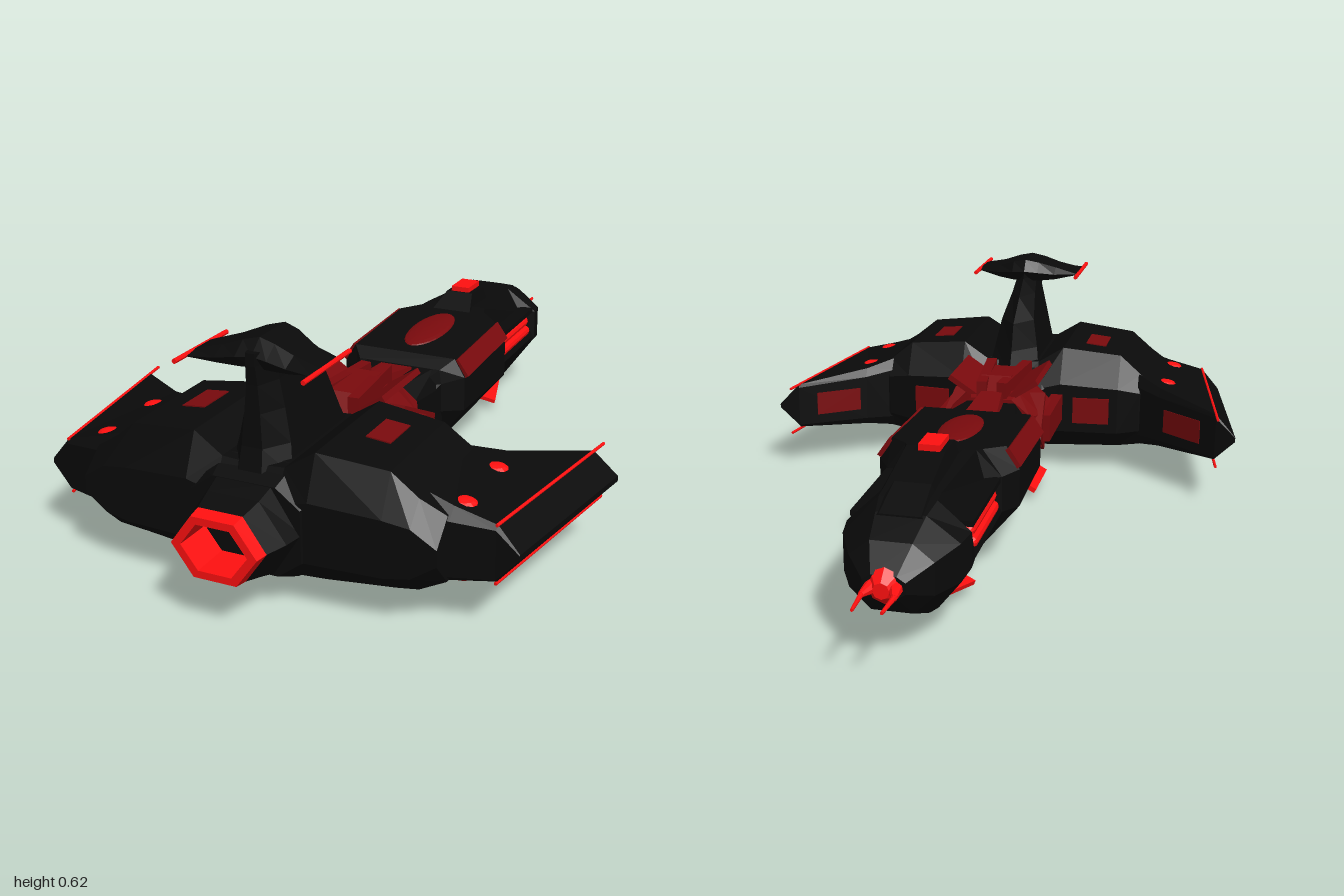
import * as THREE from 'three';

const mat = (color) => new THREE.MeshStandardMaterial({ color, flatShading: true, roughness: 0.8 });
const black = mat(0x0a0a0a), red = mat(0xff1010), maroon = mat(0x7a0a0d);

// Closed faceted skin through rings of [x, y, z] points, capped at both ends unless told otherwise.
function loft(rings, capped = true) {
  const pos = [];
  const n = rings[0].length;
  const tri = (a, b, c) => pos.push(...a, ...b, ...c);
  for (let i = 0; i < rings.length - 1; i++) {
    for (let j = 0; j < n; j++) {
      const k = (j + 1) % n, A = rings[i], B = rings[i + 1];
      tri(A[j], A[k], B[k]);
      tri(A[j], B[k], B[j]);
    }
  }
  const last = rings[rings.length - 1];
  for (let j = 1; capped && j < n - 1; j++) {
    tri(rings[0][0], rings[0][j + 1], rings[0][j]);
    tri(last[0], last[j], last[j + 1]);
  }
  // turn the faces outward if the enclosed volume is negative
  let volume = 0;
  const a = new THREE.Vector3(), b = new THREE.Vector3(), c = new THREE.Vector3();
  for (let i = 0; i < pos.length; i += 9) {
    a.fromArray(pos, i); b.fromArray(pos, i + 3); c.fromArray(pos, i + 6);
    volume += a.dot(b.cross(c));
  }
  if (volume < 0) {
    for (let i = 0; i < pos.length; i += 9) {
      for (let k = 0; k < 3; k++) [pos[i + 3 + k], pos[i + 6 + k]] = [pos[i + 6 + k], pos[i + 3 + k]];
    }
  }
  const g = new THREE.BufferGeometry();
  g.setAttribute('position', new THREE.Float32BufferAttribute(pos, 3));
  g.computeVertexNormals();
  return g;
}

// Eight-sided hull section across z; uw narrows the upper shoulder.
const hullRing = ([z, hw, tw, bw, top, yu, yl, bot, uw = hw]) => [
  [tw, top, z], [uw, yu, z], [hw, yl, z], [bw, bot, z],
  [-bw, bot, z], [-hw, yl, z], [-uw, yu, z], [-tw, top, z]];

// Eight-sided wing section; xf and xb let it slant, rise lifts the front and back the rear of the underside.
const wingRing = (s) => ([xf, xb, zf, zb, top, bot, yu, yl, cf, cb, rise = 0, back = 0]) => {
  const at = (z, y) => [s * (xf + (xb - xf) * (z - zf) / (zb - zf)), y, z];
  return [at(zf, yu), at(zf + cf, top), at(zb - cb, top), at(zb, yu),
    at(zb, yl), at(zb - cb - back, bot), at(zf + cf, bot + rise), at(zf, yl)];
};

// Six-sided engine section.
const hexRing = ([z, rx, ry]) => [0, 1, 2, 3, 4, 5].map((i) => {
  const t = i * Math.PI / 3;
  return [rx * Math.cos(t), 0.207 + ry * Math.sin(t) / 0.866, z];
});

export function createModel() {
  const model = new THREE.Group();
  const add = (name, geo, material, p = [0, 0, 0], r = [0, 0, 0]) => {
    const m = new THREE.Mesh(geo, material);
    m.name = name;
    m.position.set(...p);
    m.rotation.set(...r);
    model.add(m);
    return m;
  };
  const box = (name, material, size, p, r) => add(name, new THREE.BoxGeometry(...size), material, p, r);
  const rod = (name, material, from, to, r0, r1 = r0) => {
    const path = new THREE.Vector3(...to).sub(new THREE.Vector3(...from));
    const m = add(name, new THREE.CylinderGeometry(r1, r0, path.length(), 8), material);
    m.position.set(...from).addScaledVector(path, 0.5);
    m.quaternion.setFromUnitVectors(new THREE.Vector3(0, 1, 0), path.normalize());
  };

  // forward hull, with its raised spine
  add('fuselage', loft([
    [0.09, 0.11, 0.08, 0.05, 0.28, 0.25, 0.18, 0.11],
    [0.03, 0.125, 0.12, 0.045, 0.31, 0.27, 0.19, 0.05],
    [-0.005, 0.18, 0.15, 0.035, 0.335, 0.285, 0.19, 0.008],
    [-0.31, 0.185, 0.15, 0.035, 0.35, 0.29, 0.19, 0.008],
    [-0.36, 0.15, 0.10, 0.04, 0.355, 0.285, 0.19, 0.025],
    [-0.385, 0.15, 0.09, 0.045, 0.36, 0.285, 0.19, 0.035, 0.11],
    [-0.645, 0.15, 0.07, 0.07, 0.345, 0.275, 0.19, 0.067, 0.11],
    [-0.68, 0.15, 0.07, 0.07, 0.34, 0.27, 0.18, 0.07],
    [-0.74, 0.14, 0.06, 0.065, 0.325, 0.265, 0.17, 0.085],
    [-0.82, 0.10, 0.05, 0.05, 0.29, 0.25, 0.17, 0.12],
    [-0.88, 0.05, 0.03, 0.03, 0.235, 0.222, 0.195, 0.182]].map(hullRing)), black);
  add('spine', loft([[-0.34, 0.35, 0.06], [-0.41, 0.392, 0.04], [-0.5, 0.39, 0.04],
    [-0.64, 0.362, 0.045], [-0.75, 0.325, 0.05]].map(([z, y, w]) => [
    [w, y, z], [w + 0.03, 0.3, z], [-w - 0.03, 0.3, z], [-w, y, z]])), black);
  add('neck', loft([
    [0.02, 0.125, 0.1, 0.07, 0.31, 0.26, 0.16, 0.11],
    [0.17, 0.105, 0.07, 0.06, 0.305, 0.26, 0.16, 0.12],
    [0.5, 0.105, 0.07, 0.06, 0.3, 0.26, 0.16, 0.11]].map(hullRing)), black);

  // windows and sensors of the forward hull
  add('canopy', new THREE.SphereGeometry(1, 24, 10), maroon, [0, 0.343, -0.185], [0.05, 0, 0])
    .scale.set(0.055, 0.012, 0.135);
  box('topSensor', red, [0.055, 0.035, 0.085], [0, 0.389, -0.457]);
  add('noseCap', new THREE.CylinderGeometry(0.045, 0.02, 0.03, 8), red, [0, 0.207, -0.886], [Math.PI / 2, 0, 0]);

  // chin gun body
  add('chinWedge', loft([[-0.41, 0.02, 0.01, 0.05], [-0.58, 0.045, 0.025, 0.08], [-0.67, 0.03, 0.07, 0.09]]
    .map(([z, w, lo, hi]) => [[w, hi, z], [w, lo, z], [-w, lo, z], [-w, hi, z]])), red);

  // rear hull joining the wings
  add('rearHull', loft([
    [0.42, 0.1, 0.07, 0.06, 0.3, 0.27, 0.14, 0.1],
    [0.5, 0.16, 0.09, 0.08, 0.345, 0.3, 0.12, 0.07],
    [0.79, 0.18, 0.09, 0.09, 0.345, 0.3, 0.12, 0.06],
    [0.865, 0.14, 0.08, 0.08, 0.315, 0.27, 0.14, 0.095]].map(hullRing)), black);

  const sweep = Math.atan2(0.128, 0.177);
  for (const s of [1, -1]) {
    // wings
    add('innerWing', loft([
      [0.0, 0.0, 0.43, 0.86, 0.34, 0.05, 0.26, 0.14, 0.05, 0.04, 0.025, 0.05],
      [0.08, 0.08, 0.43, 0.86, 0.345, 0.052, 0.27, 0.14, 0.05, 0.04, 0.025, 0.05],
      [0.155, 0.155, 0.435, 0.86, 0.393, 0.06, 0.29, 0.14, 0.05, 0.045, 0.02, 0.04],
      [0.33, 0.33, 0.45, 0.85, 0.375, 0.076, 0.28, 0.14, 0.05, 0.05, 0.01, 0.03],
      [0.395, 0.395, 0.46, 0.845, 0.322, 0.1, 0.27, 0.15, 0.03, 0.05],
      [0.455, 0.455, 0.5, 0.84, 0.285, 0.125, 0.23, 0.19, 0.03, 0.06]].map(wingRing(s))), black);
    add('outerWing', loft([
      [0.38, 0.38, 0.475, 0.8, 0.325, 0.1, 0.29, 0.135, 0.02, 0.05],
      [0.46, 0.46, 0.42, 0.785, 0.3, 0.118, 0.275, 0.14, 0.015, 0.03],
      [0.637, 0.56, 0.292, 0.765, 0.275, 0.138, 0.265, 0.145, 0.005, 0.01],
      [0.695, 0.613, 0.282, 0.758, 0.214, 0.2, 0.212, 0.202, 0.002, 0.002]].map(wingRing(s))), black);
    box('leadingPanel', maroon, [0.14, 0.07, 0.01], [s * 0.535, 0.207, 0.369], [0, s * sweep, 0]);
    box('rootPanel', maroon, [0.11, 0.08, 0.01], [s * 0.25, 0.21, 0.442], [0, -s * 0.086, 0]);
    box('topPanel', maroon, [0.062, 0.012, 0.11], [s * 0.243, 0.381, 0.625], [0, 0, -s * 0.1]);
    for (const z of [0.52, 0.715]) {
      add('topDome', new THREE.SphereGeometry(1, 12, 8), red, [s * 0.465, 0.289, z]).scale.set(0.034, 0.014, 0.03);
      add('bottomDome', new THREE.SphereGeometry(1, 12, 8), red, [s * 0.465, 0.122, z]).scale.set(0.038, 0.018, 0.032);
    }
    for (const y of [0.275, 0.134]) {
      rod('tipRail', red, [s * 0.645, y, 0.245], [s * 0.56, y, 0.76], 0.004);
    }

    // hull side details, the pods lying in a recess under a lip
    box('sideWindow', maroon, [0.012, 0.056, 0.31], [s * 0.169, 0.315, -0.163], [0.04, 0, s * 0.6]);
    box('podLip', black, [0.045, 0.014, 0.29], [s * 0.126, 0.28, -0.515]);
    for (const [x, y] of [[0.136, 0.222], [0.13, 0.252]]) {
      add('sidePod', new THREE.CapsuleGeometry(0.016, 0.218, 4, 10), red, [s * x, y, -0.515], [Math.PI / 2, 0, 0]);
    }
    rod('noseProng', red, [s * 0.025, 0.207, -0.87], [s * 0.038, 0.207, -0.925], 0.02, 0.007);
    rod('noseProng', red, [s * 0.038, 0.207, -0.91], [s * 0.033, 0.207, -1], 0.007, 0.004);
    box('chinFin', red, [0.06, 0.012, 0.17], [s * 0.055, 0.06, -0.53], [0.2, s * 0.25, -s * 0.35]);

    // machinery round the neck, with flaps spread in an X
    box('upperFlap', maroon, [0.095, 0.016, 0.22], [s * 0.09, 0.34, 0.3], [0, 0, s * 0.58]);
    box('lowerFlap', red, [0.09, 0.014, 0.17], [s * 0.092, 0.058, 0.265], [0, 0, -s * 0.5]);
    box('upperBlock', maroon, [0.03, 0.05, 0.25], [s * 0.042, 0.338, 0.3], [0, s * 0.1, 0]);
    box('sideBlock', maroon, [0.035, 0.08, 0.21], [s * 0.147, 0.22, 0.325]);
    [[-0.45, 0.26], [-0.12, 0.23], [0.2, 0.205], [0.5, 0.18]].forEach(([tilt, y]) =>
      box('sideVane', maroon, [0.045, 0.02, 0.17], [s * 0.122, y, 0.22], [tilt, -s * 0.1, 0]));
    rod('lowerStrut', red, [s * 0.05, 0.105, 0.17], [s * 0.012, 0.062, 0.43], 0.018);

    // rails at the ends of the tailplane
    rod('tailRail', red, [s * 0.16, 0.576, 0.65], [s * 0.16, 0.576, 0.87], 0.006);
  }
  add('neckCollar', loft([
    [0.17, 0.115, 0.06, 0.06, 0.315, 0.27, 0.15, 0.11],
    [0.22, 0.14, 0.07, 0.07, 0.325, 0.26, 0.16, 0.1],
    [0.37, 0.14, 0.07, 0.07, 0.32, 0.26, 0.16, 0.1],
    [0.43, 0.11, 0.06, 0.06, 0.31, 0.26, 0.16, 0.11]].map(hullRing)), maroon);
  add('neckSpine', loft([[0.05, 0.045, 0.315], [0.18, 0.03, 0.335], [0.24, 0.045, 0.365], [0.38, 0.045, 0.355],
    [0.43, 0.03, 0.31]].map(([z, w, y]) => [[w, y, z], [w + 0.01, 0.28, z], [-w - 0.01, 0.28, z], [-w, y, z]])), maroon);
  box('lowerBlock', red, [0.06, 0.045, 0.17], [0, 0.075, 0.265]);

  // tail fin and tailplane
  add('tailFin', loft([
    [0.31, 0.42, 0.84, 0.078], [0.38, 0.45, 0.822, 0.066], [0.46, 0.475, 0.815, 0.05],
    [0.525, 0.56, 0.812, 0.036], [0.57, 0.62, 0.816, 0.03], [0.6, 0.65, 0.815, 0.03]]
    .map(([y, f, b, w]) => [[0, y, f], [w, y, f + 0.07], [w, y, b - 0.06], [w * 0.4, y, b],
      [-w * 0.4, y, b], [-w, y, b - 0.06], [-w, y, f + 0.07]])), black);
  add('tailplane', loft([
    [-0.16, 0.7, 0.83, 0.58, 0.571], [-0.09, 0.665, 0.82, 0.597, 0.56], [-0.04, 0.64, 0.815, 0.615, 0.558],
    [0, 0.63, 0.81, 0.624, 0.558], [0.04, 0.64, 0.815, 0.615, 0.558], [0.09, 0.665, 0.82, 0.597, 0.56],
    [0.16, 0.7, 0.83, 0.58, 0.571]].map(([x, f, b, hi, lo]) => {
    const m = (hi + lo) / 2;
    return [[x, m, f], [x, hi, f + 0.025], [x, hi, b - 0.04], [x, m, b], [x, lo, b - 0.02], [x, lo, f + 0.02]];
  })), black);

  // engine: housing with a hollow end, lined by the nozzle
  add('engineHousing', loft([[0.8, 0.2, 0.135], [0.855, 0.14, 0.11], [0.91, 0.13, 0.092], [0.967, 0.112, 0.078],
    [0.967, 0.09, 0.06], [0.9, 0.088, 0.058]].map(hexRing)), black);
  add('engineNozzle', loft([[0.962, 0.113, 0.079], [1.0, 0.108, 0.074], [1.0, 0.084, 0.056], [0.902, 0.082, 0.054],
    [0.962, 0.113, 0.079]].map(hexRing), false), red);
  add('engineCore', loft([[0.895, 0.04, 0.03], [0.915, 0.03, 0.02]].map(hexRing)), black);

  return model;
}
